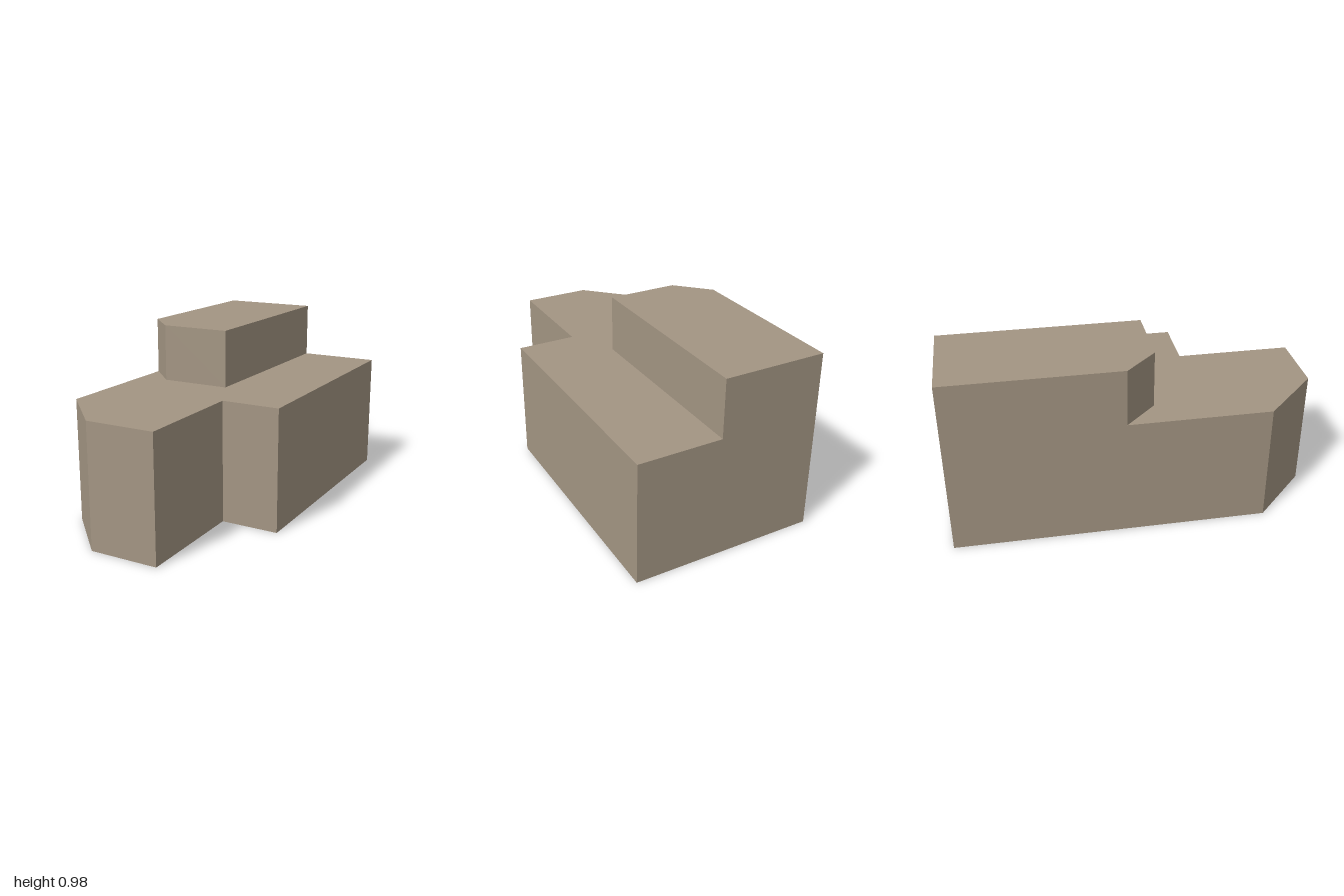
import * as THREE from 'three';

const material = new THREE.MeshStandardMaterial({ color: 0xa39583, flatShading: true });

// Vertical prism over a floor plan given as [x, z] corners.
function storey(name, plan, bottom, top) {
  const shape = new THREE.Shape(plan.map(([x, z]) => new THREE.Vector2(x, -z)));
  const geometry = new THREE.ExtrudeGeometry(shape, { depth: top - bottom, bevelEnabled: false });
  geometry.rotateX(-Math.PI / 2);
  geometry.translate(0, bottom, 0);
  const mesh = new THREE.Mesh(geometry, material);
  mesh.name = name;
  return mesh;
}

export function createModel() {
  const model = new THREE.Group();
  model.name = 'building';

  // Main block: chamfered front corner on one side, stepped notch on the other
  model.add(storey('lowerStorey', [
    [-0.5, -1], [-0.5, 0.7], [-0.2, 1], [0.18, 1],
    [0.18, 0.36], [0.5, 0.36], [0.5, -1],
  ], 0, 0.667));

  // Smaller block set flush with the back and the chamfered side
  model.add(storey('upperStorey', [
    [-0.5, -1], [-0.5, -0.07], [-0.335, 0.1], [0.05, 0.1], [0.05, -1],
  ], 0.667, 0.98));

  return model;
}
